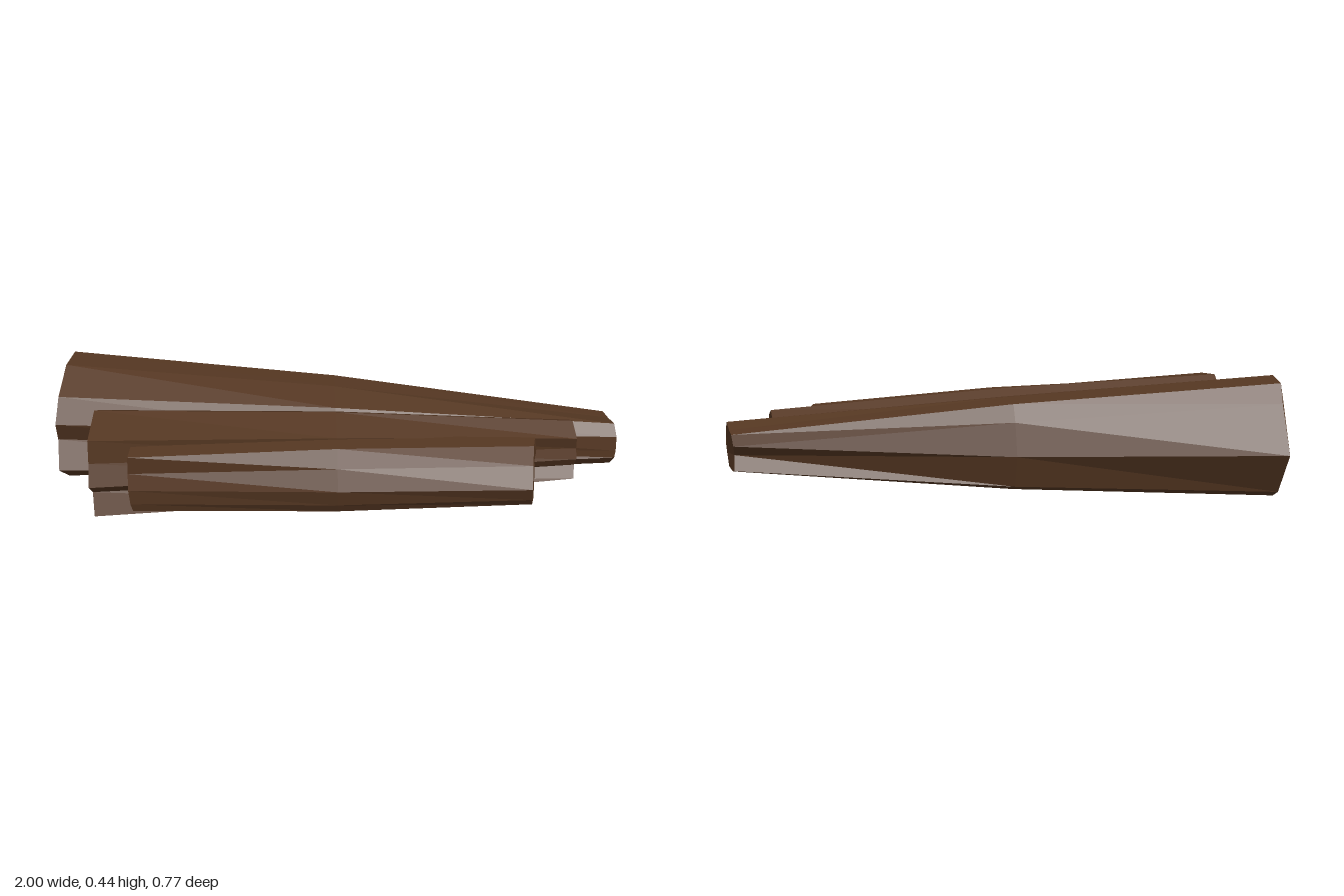
import * as THREE from 'three';

const bark = new THREE.MeshStandardMaterial({ color: 0x553722, flatShading: true });
bark.name = 'dark brown bark';

// Ring halfway along the log, swollen a little about its own centre.
function middleRing(left, right, bulge) {
  const ring = left.map((p, i) => p.clone().lerp(right[i], 0.5));
  const centre = new THREE.Vector3();
  ring.forEach(p => centre.addScaledVector(p, 1 / ring.length));
  return ring.map(p => p.sub(centre).multiplyScalar(bulge).add(centre).setX(0));
}

// Lofts the rings from left to right and closes both ends.
function loft(rings) {
  const n = rings[0].length;
  const index = [];
  for (let r = 0; r < rings.length - 1; r++) {
    for (let i = 0; i < n; i++) {
      const a = r * n + i, b = r * n + (i + 1) % n;
      index.push(a, b, b + n, a, b + n, a + n);
    }
  }
  const cap = ring => THREE.ShapeUtils.triangulateShape(ring.map(p => new THREE.Vector2(-p.z, p.y)), []);
  const last = (rings.length - 1) * n;
  for (const [a, b, c] of cap(rings[0])) index.push(a, c, b);
  for (const [a, b, c] of cap(rings[rings.length - 1])) index.push(last + a, last + b, last + c);

  const indexed = new THREE.BufferGeometry().setFromPoints(rings.flat());
  indexed.setIndex(index);
  const geometry = indexed.toNonIndexed();
  geometry.computeVertexNormals();
  return geometry;
}

// One end of a log: [z, y] outline from the back over the top, on a cut at x
// that leans by slant from its back corner to its front.
function cutEnd(x, slant, outline) {
  return outline.map(([z, y], i) =>
    new THREE.Vector3(x + slant * Math.cos(i / outline.length * Math.PI * 2), y, z));
}

function makeLog(name, bulge, left, right) {
  const mesh = new THREE.Mesh(loft([left, middleRing(left, right, bulge), right]), bark);
  mesh.name = name;
  return mesh;
}

export function createModel() {
  const group = new THREE.Group();
  group.name = 'logBundle';

  // Long, strongly tapered log at the back
  group.add(makeLog('backLog', 1.13,
    cutEnd(-0.97, 0.03, [[-.385, .2], [-.29, .365], [-.24, .43], [-.13, .437], [0, .38], [.06, .3],
      [.03, .22], [.1, .13], [0, .04], [-.15, 0], [-.22, .005], [-.29, .04]]),
    cutEnd(0.985, -0.015, [[.015, .2], [-.02, .24], [-.01, .28], [.04, .285], [.105, .3], [.14, .265],
      [.145, .21], [.145, .18], [.11, .135], [.05, .14], [0, .145], [-.015, .15]])));

  // Deeply ridged log in the middle
  group.add(makeLog('middleLog', 1.08,
    cutEnd(-0.845, 0.01, [[0, .22], [.01, .33], [.12, .395], [.275, .37], [.28, .28], [.31, .2],
      [.25, .14], [.285, .06], [.2, .06], [.15, .015], [.05, .07]]),
    cutEnd(0.84, -0.01, [[.06, .22], [.07, .3], [.13, .33], [.2, .3], [.185, .25], [.195, .21],
      [.17, .17], [.2, .13], [.15, .12], [.12, .125], [.07, .15]])));

  // Short, nearly straight log in front
  group.add(makeLog('frontLog', 1.12,
    cutEnd(-0.705, 0.01, [[.17, .22], [.19, .31], [.24, .34], [.335, .34], [.33, .27],
      [.345, .21], [.34, .15], [.33, .115], [.28, .11], [.2, .13]]),
    cutEnd(0.685, 0.02, [[.185, .2], [.205, .26], [.21, .315], [.265, .315], [.335, .28],
      [.385, .215], [.36, .155], [.33, .115], [.285, .11], [.21, .15]])));

  return group;
}
